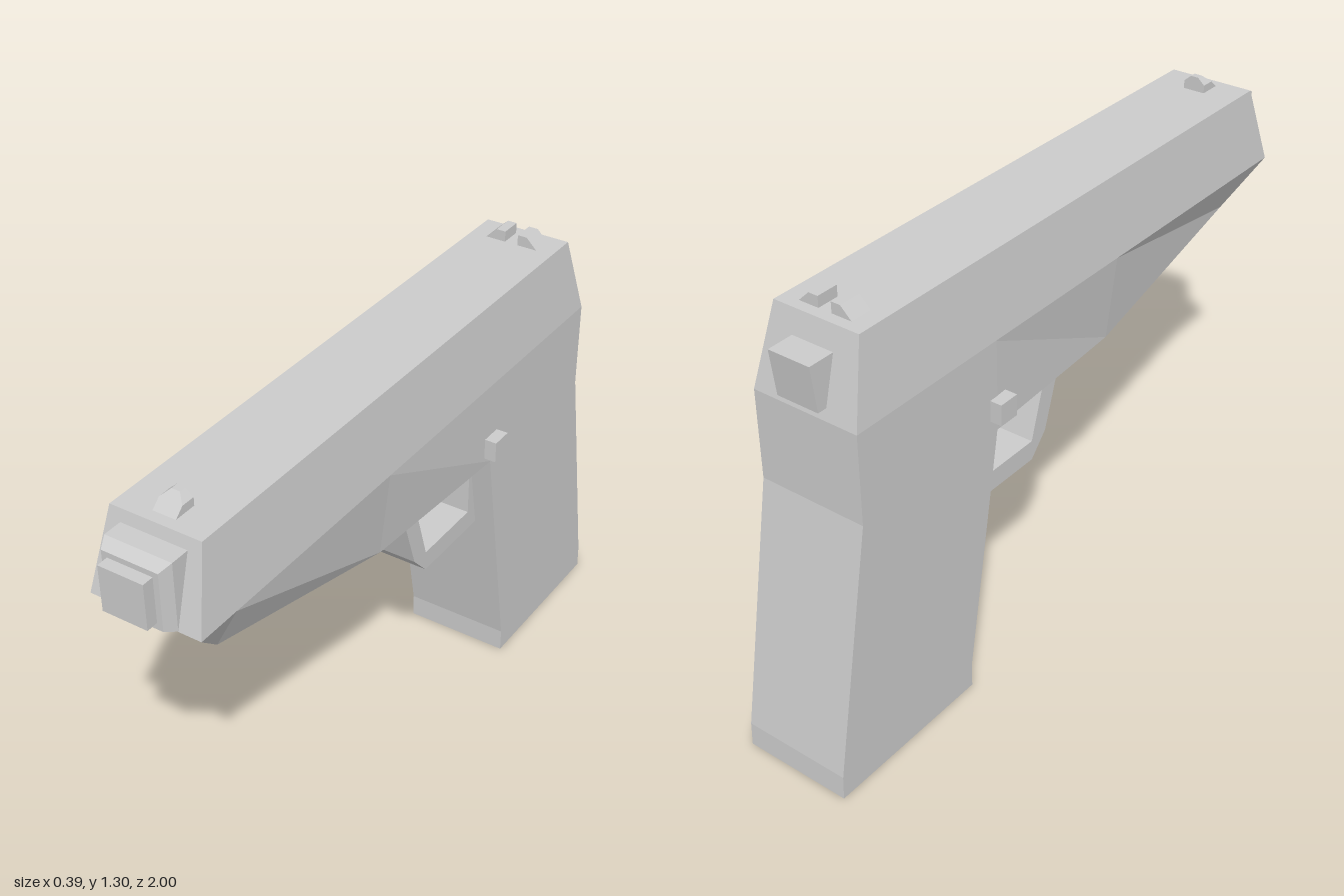
import * as THREE from 'three';

const material = new THREE.MeshStandardMaterial({ color: 0xcccccc, flatShading: true });

// Closed solid through four-cornered rings, with caps at both ends
function loft(rings) {
  const pos = [];
  const quad = (a, b, c, d) => pos.push(...a, ...b, ...c, ...a, ...c, ...d);
  for (let k = 0; k < rings.length - 1; k++) {
    for (let i = 0; i < 4; i++) {
      const j = (i + 1) % 4;
      quad(rings[k][i], rings[k][j], rings[k + 1][j], rings[k + 1][i]);
    }
  }
  quad(...[...rings[0]].reverse());
  quad(...rings[rings.length - 1]);
  const geo = new THREE.BufferGeometry();
  geo.setAttribute('position', new THREE.Float32BufferAttribute(pos, 3));
  geo.computeVertexNormals();
  return geo;
}

// Level ring at height y, from z = back to z = front
const levelRing = (y, half, back, front) =>
  [[half, y, front], [half, y, back], [-half, y, back], [-half, y, front]];

// Upright ring at depth z, with its own half width at bottom and top
const uprightRing = (z, lowHalf, lowY, topHalf, topY) =>
  [[lowHalf, lowY, z], [topHalf, topY, z], [-topHalf, topY, z], [-lowHalf, lowY, z]];

const outline = (points) => new THREE.Shape(points.map(([a, b]) => new THREE.Vector2(a, b)));

// Side profile in [z, y], extruded across x and centred
function sideProfile(points, width) {
  const geo = new THREE.ExtrudeGeometry(outline(points), { depth: width, bevelEnabled: false });
  return geo.translate(0, 0, -width / 2).rotateY(-Math.PI / 2);
}

export function createModel() {
  const model = new THREE.Group();
  const add = (name, geo) => {
    const mesh = new THREE.Mesh(geo, material);
    mesh.name = name;
    model.add(mesh);
    return mesh;
  };

  // Upper slide, narrowing towards the top
  add('slide', loft([
    levelRing(1.035, 0.16, -0.865, 0.935),
    levelRing(1.26, 0.13, -0.805, 0.872),
  ]));

  // Frame under the slide, tapering to the nose
  add('frame', loft([
    uprightRing(-0.36, 0.16, 0.78, 0.16, 1.035),
    uprightRing(0.165, 0.13, 0.78, 0.16, 1.035),
    uprightRing(0.805, 0.095, 0.905, 0.16, 1.035),
    uprightRing(0.935, 0.16, 1.035, 0.16, 1.035),
  ]));

  // Raked grip
  add('grip', loft([
    levelRing(0, 0.16, -1, -0.482),
    levelRing(0.07, 0.16, -0.997, -0.482),
    levelRing(0.78, 0.16, -0.865, -0.355),
    levelRing(1.035, 0.16, -0.865, -0.355),
  ]));

  // Muzzle block with chamfered front, and the barrel end
  add('muzzleBlock', loft([
    uprightRing(0.85, 0.095, 1.036, 0.095, 1.228),
    uprightRing(0.935, 0.095, 1.036, 0.095, 1.228),
    uprightRing(0.967, 0.08, 1.05, 0.08, 1.212),
  ]));
  add('barrelEnd', new THREE.BoxGeometry(0.128, 0.128, 0.06).translate(0, 1.133, 0.97));

  // Hammer at the back
  add('hammer', sideProfile(
    [[-0.79, 1.197], [-0.9, 1.197], [-0.884, 1.066], [-0.79, 1.066]], 0.126));

  // Trigger guard and trigger
  add('triggerGuard', sideProfile([
    [0, 0.78], [-0.065, 0.585], [-0.125, 0.52], [-0.41, 0.52], [-0.37, 0.78],
    [-0.355, 0.78], [-0.355, 0.58], [-0.125, 0.58], [-0.062, 0.78],
  ], 0.19));
  add('trigger', sideProfile(
    [[-0.255, 0.79], [-0.195, 0.65], [-0.255, 0.65], [-0.325, 0.79]], 0.1));

  // Front sight, sloped in front and narrowed on top
  add('frontSight', loft([
    levelRing(1.26, 0.033, 0.775, 0.84),
    levelRing(1.283, 0.033, 0.775, 0.815),
    levelRing(1.302, 0.012, 0.775, 0.795),
  ]));

  // Paired rear sights and side buttons
  for (const [side, s] of [['left', 1], ['right', -1]]) {
    const points = [[0.02, 1.255], [0.08, 1.255], [0.08, 1.26], [0.048, 1.291], [0.02, 1.291]];
    const geo = new THREE.ExtrudeGeometry(outline(points.map(([x, y]) => [s * x, y])),
      { depth: 0.064, bevelEnabled: false });
    add(side + 'RearSight', geo.translate(0, 0, -0.774));
    add(side + 'Button', new THREE.BoxGeometry(0.06, 0.062, 0.064).translate(s * 0.165, 0.842, -0.352));
  }

  return model;
}
